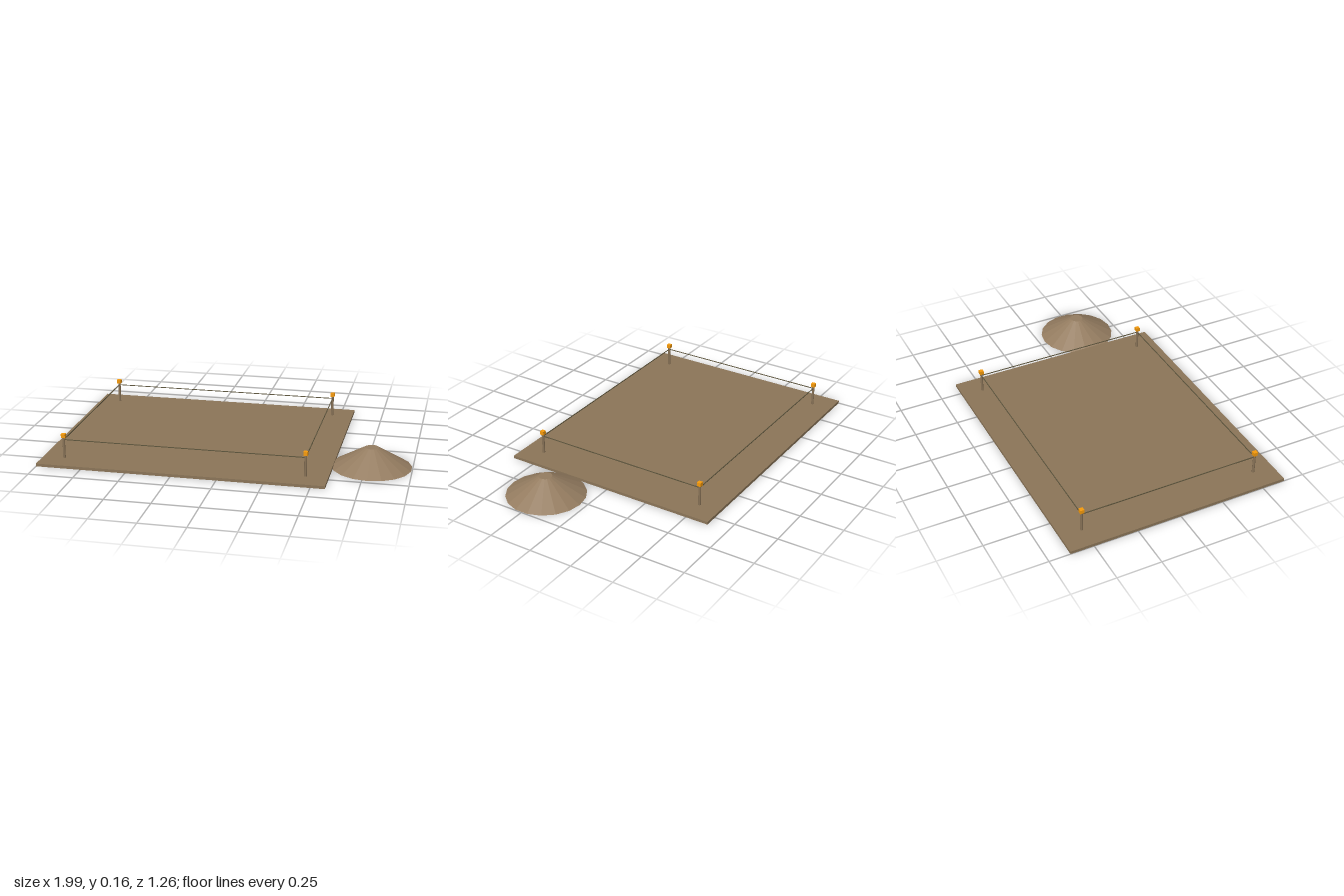
import * as THREE from 'three';

const SLAB_X = -0.211;            // centre of the plot along x
const POST_X = 0.668, POST_Z = 0.512; // post offsets from the plot centre
const ROPE_Y = 0.121;

const earth = new THREE.MeshStandardMaterial({ color: 0x8b7558, flatShading: true });
const soil = new THREE.MeshStandardMaterial({ color: 0x947c60, flatShading: true });
const wood = new THREE.MeshStandardMaterial({ color: 0x8a7458 });
const orange = new THREE.MeshStandardMaterial({ color: 0xf59a0c });
const cord = new THREE.MeshStandardMaterial({ color: 0x5c543c });

function add(parent, name, geometry, material, x, y, z) {
  const mesh = new THREE.Mesh(geometry, material);
  mesh.name = name;
  mesh.position.set(x, y, z);
  parent.add(mesh);
  return mesh;
}

export function createModel() {
  const model = new THREE.Group();
  model.name = 'stakedPlot';

  // Flat ground slab
  add(model, 'groundSlab', new THREE.BoxGeometry(1.578, 0.016, 1.264), earth, SLAB_X, 0.008, 0);

  // Heap of soil beside the slab
  add(model, 'soilHeap', new THREE.CylinderGeometry(0.037, 0.22, 0.11, 18), soil, 0.778, 0.055, 0.254);

  // Corner posts with square orange caps
  const postGeometry = new THREE.CylinderGeometry(0.0075, 0.0075, 0.12, 8);
  const capGeometry = new THREE.BoxGeometry(0.023, 0.022, 0.023);
  for (const sx of [-1, 1]) {
    for (const sz of [-1, 1]) {
      const post = new THREE.Group();
      post.name = 'cornerPost';
      post.position.set(SLAB_X + sx * POST_X, 0, sz * POST_Z);
      add(post, 'postShaft', postGeometry, wood, 0, 0.075, 0);
      add(post, 'postCap', capGeometry, orange, 0, 0.144, 0);
      model.add(post);
    }
  }

  // Taut cords strung between the posts
  const longCord = new THREE.BoxGeometry(2 * POST_X, 0.004, 0.004);
  const shortCord = new THREE.BoxGeometry(0.004, 0.004, 2 * POST_Z);
  for (const s of [-1, 1]) {
    add(model, 'longCord', longCord, cord, SLAB_X, ROPE_Y, s * POST_Z);
    add(model, 'shortCord', shortCord, cord, SLAB_X + s * POST_X, ROPE_Y, 0);
  }
  return model;
}
